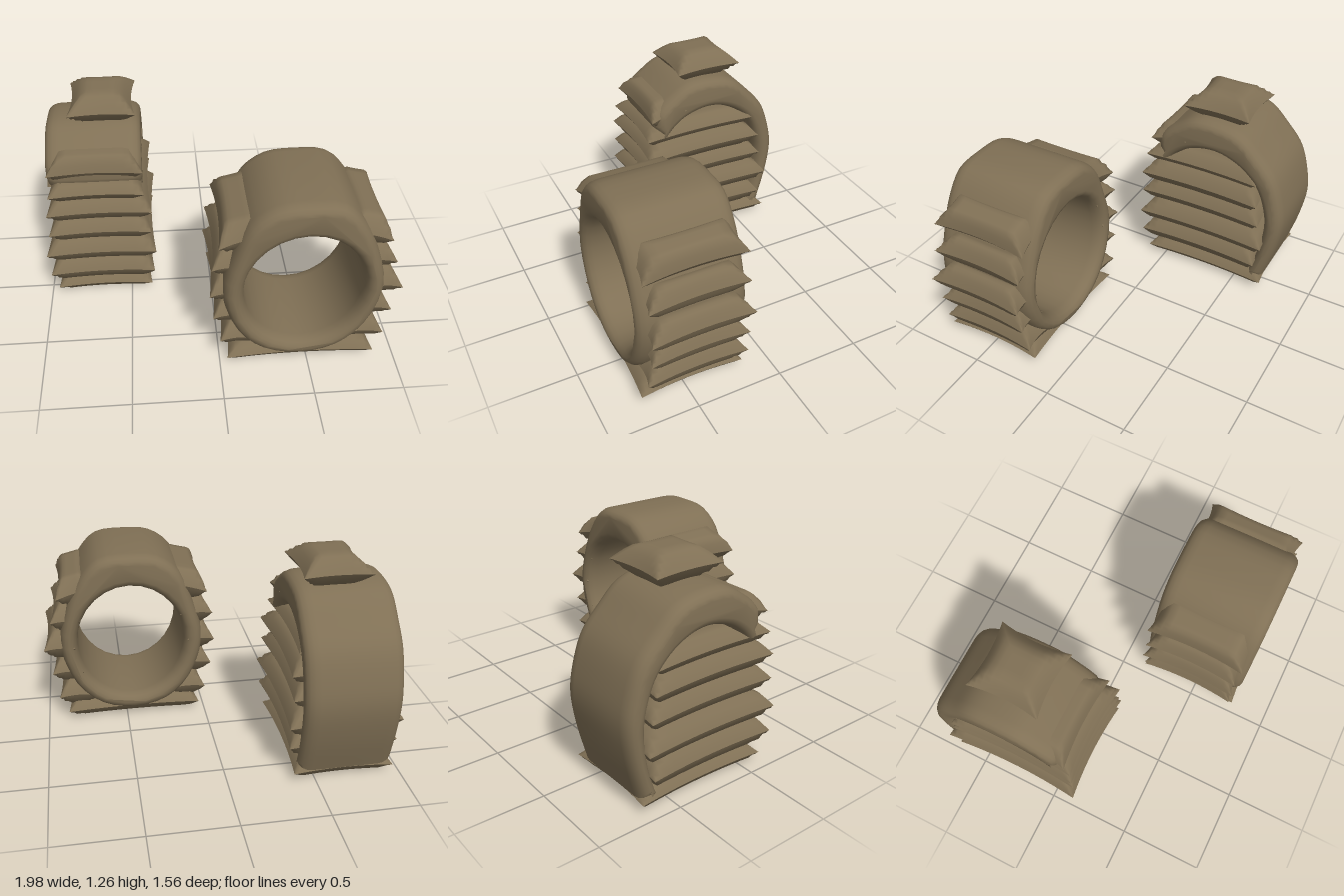
import * as THREE from 'three';
import { mergeGeometries, toCreasedNormals } from 'three/addons/utils/BufferGeometryUtils.js';

const canvas = new THREE.MeshStandardMaterial({ color: 0x807055 });
canvas.name = 'canvas';

// Stuffed bag: two domed sheets meeting at a pinched seam with pointed corners
function bagGeometry(w, h, d, slope = 0.075) {
  const half = (side) => {
    const g = new THREE.PlaneGeometry(2, 2, 14, 14);
    g.rotateX(-side * Math.PI / 2);
    const p = g.attributes.position;
    for (let i = 0; i < p.count; i++) {
      // crowd the grid toward the seams
      const u = Math.sin(p.getX(i) * Math.PI / 2);
      const v = Math.sin(p.getZ(i) * Math.PI / 2);
      const rise = (t, size) => {
        const k = Math.min(1, (1 - Math.abs(t)) * size / 2 / Math.min(slope, size / 2));
        return Math.sin(k * Math.PI / 2);
      };
      const x = u * (w / 2 - 0.022 * (1 - v * v));
      const z = v * (d / 2 - 0.022 * (1 - u * u));
      p.setXYZ(i, x, side * h / 2 * Math.min(rise(u, w), rise(v, d)), z);
    }
    g.computeVertexNormals();
    return g;
  };
  return mergeGeometries([half(1), half(-1)]);
}

// Bag given by its limits on each axis
function addBag(parent, name, [x0, x1], [y0, y1], [z0, z1], slope) {
  const mesh = new THREE.Mesh(bagGeometry(x1 - x0, y1 - y0, z1 - z0, slope), canvas);
  mesh.name = name;
  mesh.position.set((x0 + x1) / 2, (y0 + y1) / 2, (z0 + z1) / 2);
  parent.add(mesh);
  return mesh;
}

const vectors = (points) => points.map(([x, y]) => new THREE.Vector2(x, y));

// Rounded thick slab cut from an outline
function slab(shape, width) {
  const bevel = 0.08;
  const g = new THREE.ExtrudeGeometry(shape, {
    depth: width - 2 * bevel, curveSegments: 4,
    bevelThickness: bevel, bevelSize: 0.05, bevelOffset: -0.05, bevelSegments: 4,
  });
  g.translate(0, 0, bevel);
  return toCreasedNormals(g, 0.9);
}

// Open ring with bags stacked up both sides
function createRingStack() {
  const group = new THREE.Group();
  group.name = 'ringStack';
  const outer = [
    [0.45, 0.06], [0.66, 0.11], [0.81, 0.26], [0.89, 0.53], [0.83, 0.79], [0.74, 0.97],
    [0.63, 1.08], [0.45, 1.1], [0.28, 1.08], [0.15, 0.98], [0.07, 0.79], [0.01, 0.53],
    [0.09, 0.26], [0.24, 0.11],
  ];
  const shape = new THREE.Shape(new THREE.CatmullRomCurve3(
    outer.map(([x, y]) => new THREE.Vector3(x, y, 0)), true).getPoints(42)
    .slice(0, -1).map((p) => new THREE.Vector2(p.x, p.y)));
  const hole = new THREE.Path();
  hole.absellipse(0.455, 0.53, 0.33, 0.37, 0, Math.PI * 2, true, 0);
  shape.holes.push(new THREE.Path(hole.getPoints(14).slice(0, -1)));
  const ring = new THREE.Mesh(slab(shape, 0.62), canvas);
  ring.name = 'openRing';
  ring.position.z = 0.155;
  group.add(ring);

  addBag(group, 'ringBaseBag', [0.04, 0.87], [0.01, 0.14], [0.17, 0.77]);

  // y centre, left tip, left inner end, right inner end, right tip
  const rows = [
    [0.19, 0, 0.22, 0.68, 0.92],
    [0.355, -0.04, 0.14, 0.76, 0.95],
    [0.525, -0.06, 0.11, 0.8, 0.99],
    [0.7, -0.05, 0.15, 0.76, 0.94],
    [0.885, -0.02, 0.26, 0.65, 0.9],
  ];
  rows.forEach(([y, a, b, c, d], i) => {
    const z = i % 2 ? [0.17, 0.74] : [0.16, 0.75];
    addBag(group, 'rightSideBag', [a, b], [y - 0.09, y + 0.09], z).rotation.z = i === 4 ? 0.25 : 0;
    addBag(group, 'leftSideBag', [c, d], [y - 0.09, y + 0.09], z).rotation.z = i === 4 ? -0.25 : 0;
  });
  return group;
}

// Bag wall roofed by an arch that runs down its back
function createArchStack() {
  const group = new THREE.Group();
  group.name = 'archStack';
  const outer = vectors([
    [-0.07, 0.84], [-0.06, 0.94], [0.04, 1.03], [0.17, 1.1], [0.35, 1.1], [0.48, 1.06],
    [0.59, 0.96], [0.7, 0.83], [0.76, 0.66], [0.78, 0.5], [0.75, 0.3], [0.69, 0.08],
  ]);
  const inner = vectors([
    [0.58, 0.08], [0.64, 0.28], [0.66, 0.5], [0.61, 0.7], [0.52, 0.82], [0.4, 0.89],
    [0.28, 0.91], [0.15, 0.88], [0.06, 0.82], [0.0, 0.75],
  ]);
  const shape = new THREE.Shape();
  shape.moveTo(outer[0].x, outer[0].y);
  shape.splineThru(outer.slice(1));
  shape.lineTo(inner[0].x, inner[0].y);
  shape.splineThru(inner.slice(1));
  shape.closePath();
  const arch = new THREE.Mesh(slab(shape, 0.55), canvas);
  arch.name = 'arch';
  arch.rotation.y = Math.PI / 2;
  arch.position.x = -0.945;
  group.add(arch);

  addBag(group, 'archBaseBag', [-0.95, -0.37], [0.005, 0.135], [-0.7, 0.1]);

  // y limits, x limits and z limits of the wall bags
  const rows = [
    [0.115, 0.3, -0.98, -0.35, -0.65, 0.14],
    [0.275, 0.45, -0.99, -0.335, -0.69, 0.15],
    [0.43, 0.6, -0.96, -0.36, -0.65, 0.15],
    [0.575, 0.74, -0.96, -0.35, -0.63, 0.15],
    [0.71, 0.85, -0.94, -0.39, -0.6, 0.14],
  ];
  for (const [y0, y1, x0, x1, z0, z1] of rows) {
    addBag(group, 'wallBag', [x0, x1], [y0, y1], [z0, z1]);
  }
  addBag(group, 'archFrontBag', [-0.94, -0.39], [0.84, 1.01], [-0.13, 0.11]).rotation.x = 0.15;
  addBag(group, 'capBag', [-0.81, -0.42], [1.085, 1.265], [-0.51, -0.09], 0.11);
  return group;
}

export function createModel() {
  const model = new THREE.Group();
  model.name = 'sandbagStacks';
  model.add(createRingStack(), createArchStack());
  return model;
}
